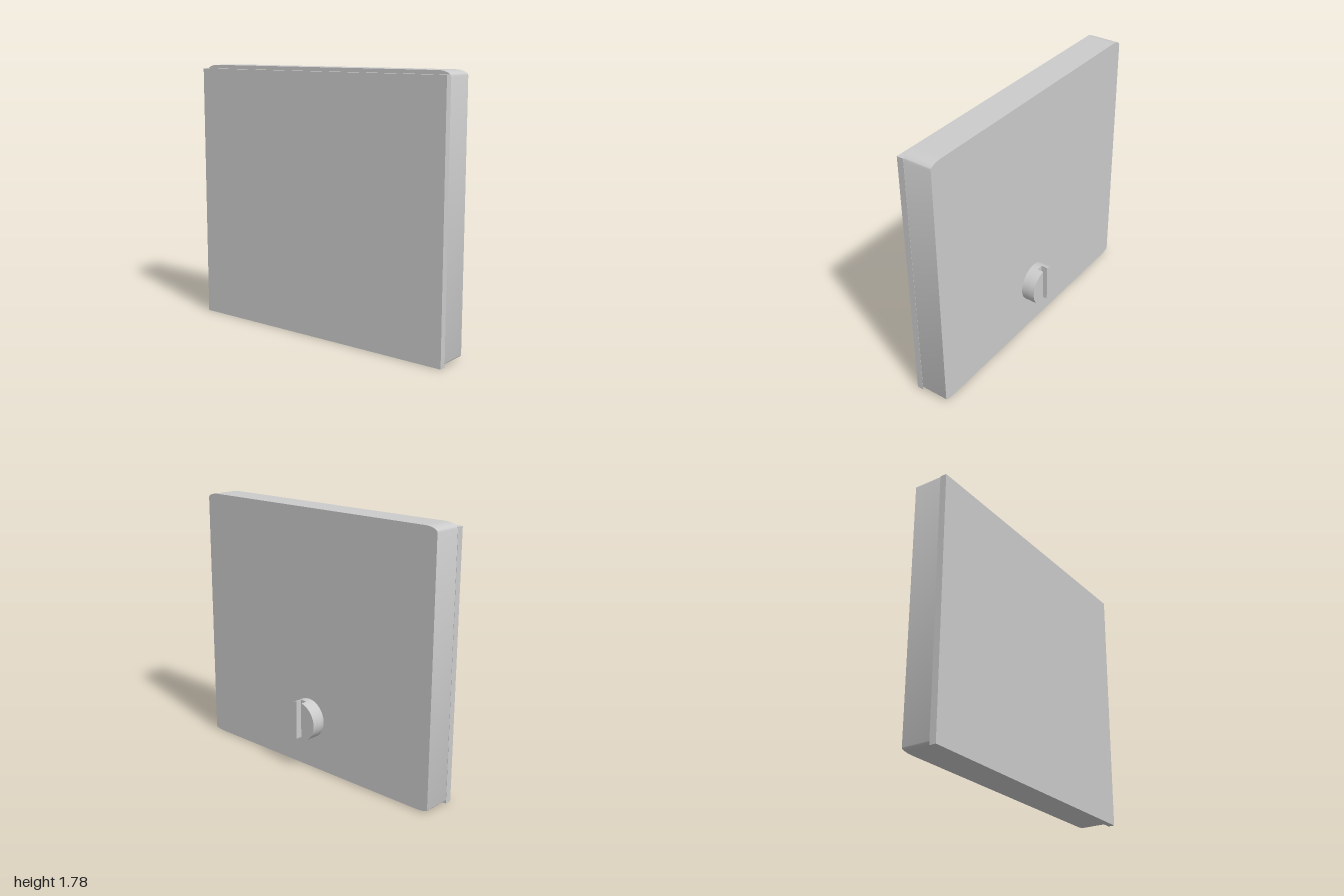
import * as THREE from 'three';
import { toCreasedNormals } from 'three/addons/utils/BufferGeometryUtils.js';

const grey = new THREE.MeshStandardMaterial({ color: 0xcccccc });

// Extrude an outline drawn in (-z, y) along +x, from x0 to x1
function slab(name, shape, x0, x1) {
  const raw = new THREE.ExtrudeGeometry(shape, { depth: x1 - x0, bevelEnabled: false, curveSegments: 16 });
  const mesh = new THREE.Mesh(toCreasedNormals(raw, 0.5), grey);
  mesh.geometry.rotateY(Math.PI / 2).translate(x0, 0, 0);
  mesh.name = name;
  return mesh;
}

// Rectangle with elliptical corners: rx wide, rt high at the top, rb high at the bottom
function roundedOutline(half, y0, y1, rx, rt, rb) {
  const s = new THREE.Shape();
  s.moveTo(-half + rx, y0);
  s.lineTo(half - rx, y0);
  s.absellipse(half - rx, y0 + rb, rx, rb, -Math.PI / 2, 0, false);
  s.lineTo(half, y1 - rt);
  s.absellipse(half - rx, y1 - rt, rx, rt, 0, Math.PI / 2, false);
  s.lineTo(-half + rx, y1);
  s.absellipse(-half + rx, y1 - rt, rx, rt, Math.PI / 2, Math.PI, false);
  s.lineTo(-half, y0 + rb);
  s.absellipse(-half + rx, y0 + rb, rx, rb, Math.PI, Math.PI * 1.5, false);
  return s;
}

export function createModel() {
  const model = new THREE.Group();
  model.name = 'coverPanel';

  // Thin square-cornered plate at the back
  const plate = new THREE.Mesh(new THREE.BoxGeometry(0.045, 1.76, 1.995), grey);
  plate.position.set(-0.1375, 0.88, 0);
  plate.name = 'backPlate';
  model.add(plate);

  // Thick cover with softened corners
  model.add(slab('cover', roundedOutline(0.996, 0.006, 1.785, 0.09, 0.035, 0.02), -0.115, 0.08));

  // Round knob: solid base with two half discs leaving a vertical slot
  const knob = new THREE.Group();
  knob.name = 'slottedKnob';
  knob.position.set(0, 0.36, 0.018);
  const radius = 0.136, slotHalf = 0.024;
  const disc = new THREE.Shape();
  disc.absarc(0, 0, radius, 0, Math.PI * 2, false);
  knob.add(slab('knobBase', disc, 0.078, 0.132));
  const a = Math.acos(slotHalf / radius);
  for (const turn of [0, Math.PI]) {
    const segment = new THREE.Shape();
    segment.absarc(0, 0, radius, turn - a, turn + a, false);
    segment.closePath();
    knob.add(slab('knobHalf', segment, 0.132, 0.177));
  }
  model.add(knob);

  // The whole panel is turned very slightly about the vertical
  model.rotation.y = 0.02;
  return model;
}
